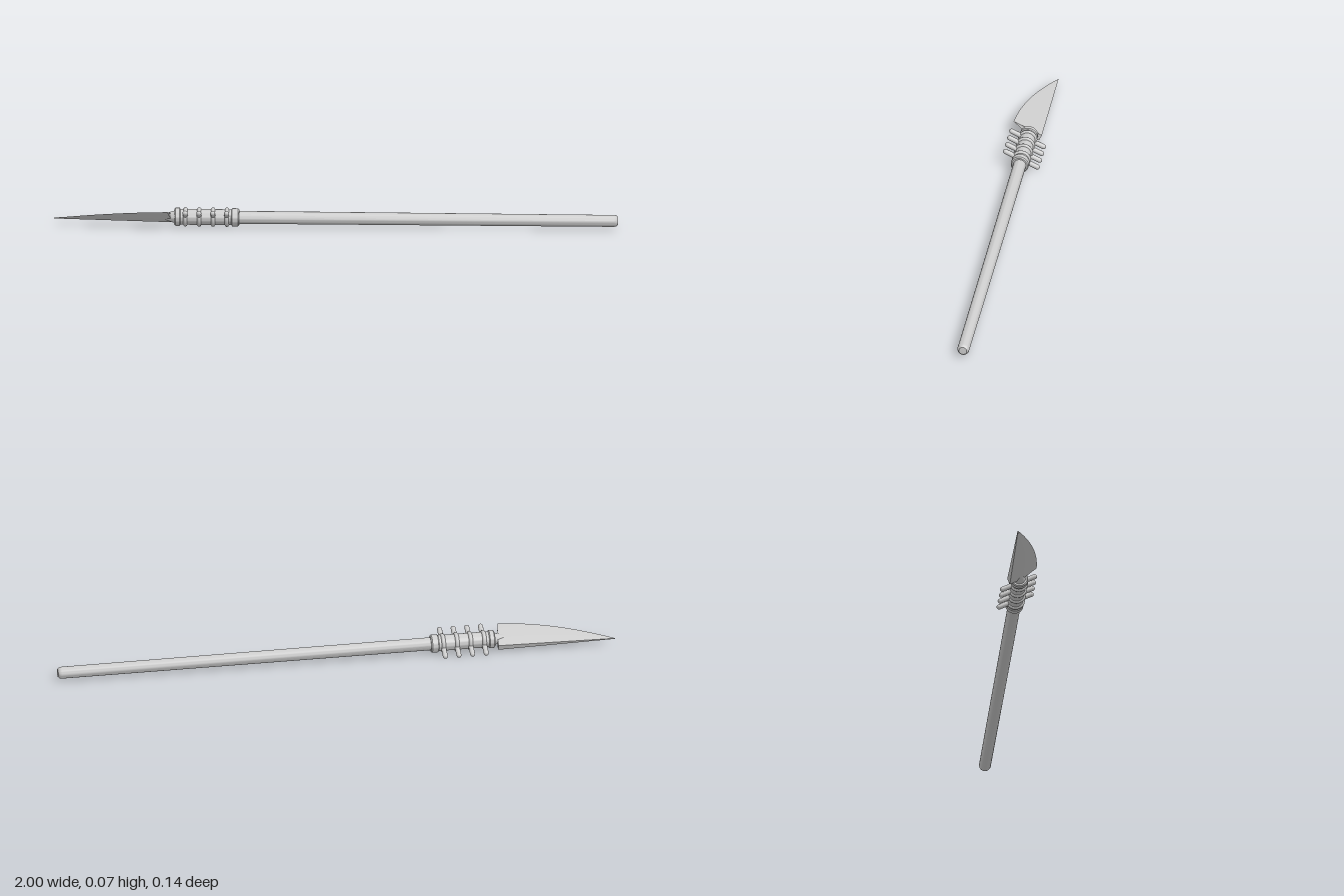
import * as THREE from 'three';
import { toCreasedNormals } from 'three/addons/utils/BufferGeometryUtils.js';

const material = new THREE.MeshStandardMaterial({ color: 0xcccccc });

function addMesh(parent, name, geometry) {
  const mesh = new THREE.Mesh(geometry, material);
  mesh.name = name;
  parent.add(mesh);
  return mesh;
}

// Turned solid along x from [x, radius] pairs
function turned(profile, sides = 28) {
  const points = profile.map(([x, r]) => new THREE.Vector2(r, x));
  const geometry = new THREE.LatheGeometry(points, sides).rotateZ(-Math.PI / 2);
  return toCreasedNormals(geometry, 0.6);
}

// Single-edged blade: straight thick spine, curved thin edge
function bladeGeometry() {
  const rows = 20, sides = 5, spine = -0.043;
  const positions = [], indices = [];
  for (let i = 0; i <= rows; i++) {
    const t = i / rows;
    const edge = THREE.MathUtils.lerp(0.067, -0.041, t) + 0.088 * t * (1 - t);
    const mid = THREE.MathUtils.lerp(spine, edge, 0.45);
    const h = THREE.MathUtils.lerp(0.011, 0.0015, t);
    const section = [[h, spine], [h, mid], [0.002 * (1 - t), edge], [-h, mid], [-h, spine]];
    for (const [y, z] of section) {
      // the heel slants back toward the cutting edge
      const heel = -0.13 - 0.016 * Math.max(0, (z + 0.005) / 0.072);
      positions.push(THREE.MathUtils.lerp(heel, -0.55, t), y, z);
    }
  }
  for (let i = 0; i < rows; i++) {
    for (let k = 0; k < sides; k++) {
      const a = i * sides + k, b = i * sides + (k + 1) % sides;
      indices.push(a, a + sides, b, b, a + sides, b + sides);
    }
  }
  const last = rows * sides;
  for (let k = 1; k < sides - 1; k++) {
    indices.push(0, k, k + 1, last, last + k + 1, last + k);
  }
  const geometry = new THREE.BufferGeometry();
  geometry.setAttribute('position', new THREE.Float32BufferAttribute(positions, 3));
  geometry.setIndex(indices);
  return toCreasedNormals(geometry, 0.3);
}

export function createModel() {
  const model = new THREE.Group();
  model.name = 'spear';

  // The weapon lies slightly askew and rolled about its own axis
  const spear = new THREE.Group();
  spear.name = 'spearBody';
  spear.position.set(-0.45, 0.037, -0.001);
  spear.rotation.set(-0.44, -0.031, -0.004, 'ZYX');
  model.add(spear);

  // Long shaft with a softened butt
  addMesh(spear, 'shaft', turned([
    [0, 0], [0, 0.023], [1.436, 0.021], [1.444, 0.019], [1.449, 0.014], [1.45, 0],
  ]));

  // Socket sleeve with a flange at each end
  addMesh(spear, 'collar', turned([
    [-0.122, 0], [-0.122, 0.028], [-0.118, 0.032], [-0.103, 0.032], [-0.1, 0.028],
    [0.08, 0.028], [0.083, 0.032], [0.104, 0.032], [0.108, 0.028], [0.108, 0],
  ]));

  // Rings and cross pins holding the head
  for (const x of [-0.083, -0.034, 0.015, 0.064]) {
    const ring = addMesh(spear, 'bindingRing', new THREE.TorusGeometry(0.027, 0.0075, 10, 28));
    ring.rotation.y = Math.PI / 2;
    ring.position.x = x;
    const pin = addMesh(spear, 'crossPin', new THREE.CapsuleGeometry(0.009, 0.126, 5, 14));
    pin.rotation.x = Math.PI / 2;
    pin.position.x = x;
  }

  // Blade and the tang joining it to the collar
  addMesh(spear, 'tang', turned([[-0.16, 0], [-0.16, 0.01], [-0.115, 0.024], [-0.115, 0]], 20));
  addMesh(spear, 'blade', bladeGeometry());

  return model;
}
